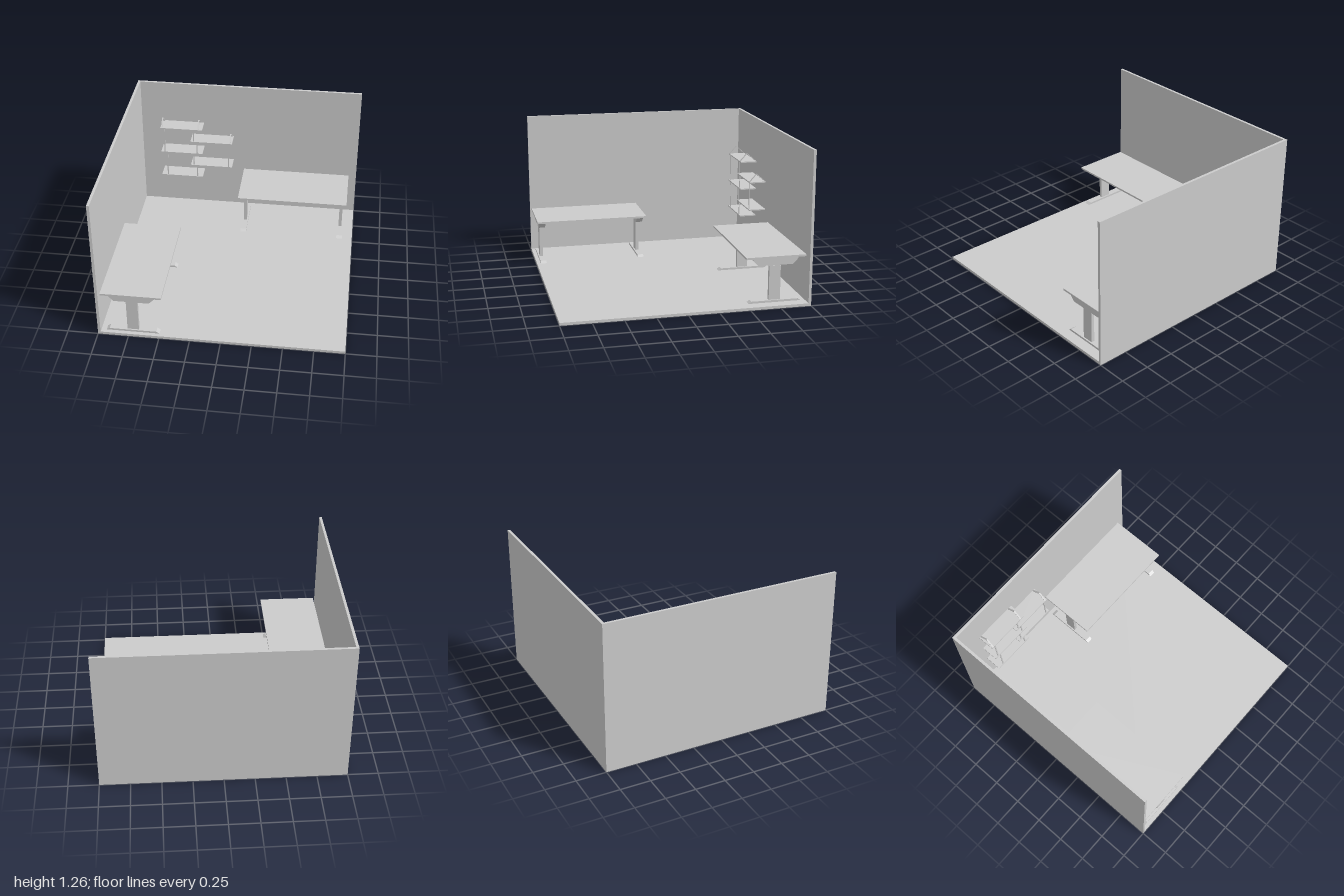
import * as THREE from 'three';

const material = new THREE.MeshStandardMaterial({ color: 0xcccccc, flatShading: true });

function add(parent, name, geometry) {
  const mesh = new THREE.Mesh(geometry, material);
  mesh.name = name;
  parent.add(mesh);
  return mesh;
}

// Box given by its minimum and maximum corners
function box(parent, name, [x0, y0, z0], [x1, y1, z1]) {
  const mesh = add(parent, name, new THREE.BoxGeometry(x1 - x0, y1 - y0, z1 - z0));
  mesh.position.set((x0 + x1) / 2, (y0 + y1) / 2, (z0 + z1) / 2);
  return mesh;
}

// Outline in (z, y), extruded by width and centred on x
function sideProfile(parent, name, points, width, x) {
  const shape = new THREE.Shape(points.map(([z, y]) => new THREE.Vector2(-z, y)));
  const geometry = new THREE.ExtrudeGeometry(shape, { depth: width, bevelEnabled: false });
  geometry.translate(0, 0, -width / 2).rotateY(Math.PI / 2);
  const mesh = add(parent, name, geometry);
  mesh.position.x = x;
  return mesh;
}

const FLOOR = 0.022;

// Standing desk, long side along x, centred on the origin
function createDesk() {
  const desk = new THREE.Group();
  desk.name = 'desk';
  box(desk, 'tabletop', [-0.485, 0.392, -0.246], [0.485, 0.408, 0.246]);
  for (const side of [-1, 1]) {
    const leg = new THREE.Group();
    leg.name = 'leg';
    leg.position.x = side * 0.438;
    desk.add(leg);
    sideProfile(leg, 'foot', [
      [-0.217, FLOOR], [0.217, FLOOR], [0.192, 0.039], [-0.192, 0.039],
    ], 0.052, 0);
    box(leg, 'column', [-0.014, 0.039, -0.047], [0.014, 0.32, 0.047]);
    box(leg, 'innerColumn', [-0.011, 0.32, -0.043], [0.011, 0.332, 0.043]);
    sideProfile(leg, 'bracket', [
      [-0.142, 0.33], [0.142, 0.33], [0.186, 0.375], [0.186, 0.392], [-0.186, 0.392], [-0.186, 0.375],
    ], 0.056, 0);
  }
  return desk;
}

// Staggered wall shelves hung on thin straps
function createShelves() {
  const shelves = new THREE.Group();
  shelves.name = 'wallShelves';
  const front = -0.833, back = -0.978;
  for (const [x, y] of [
    [-0.787, 0.87], [-0.515, 0.745], [-0.787, 0.622], [-0.515, 0.498], [-0.787, 0.375],
  ]) {
    box(shelves, 'shelf', [x, y - 0.005, back], [x + 0.38, y + 0.005, front]);
  }

  // Vertical straps along the front edges: x, bottom, top
  for (const [x, y0, y1] of [
    [-0.752, 0.622, 0.87], [-0.485, 0.745, 0.87], [-0.455, 0.622, 0.745], [-0.485, 0.498, 0.622],
    [-0.168, 0.498, 0.745], [-0.73, 0.375, 0.622], [-0.455, 0.375, 0.498],
  ]) {
    box(shelves, 'verticalStrap', [x - 0.005, y0, front - 0.009], [x + 0.005, y1, front - 0.003]);
  }

  // Peaked straps rising from the front edge and falling back to the wall
  for (const [x, y] of [[-0.772, 0.875], [-0.442, 0.875], [-0.153, 0.75]]) {
    sideProfile(shelves, 'hangingStrap', [
      [front, y], [-0.897, y + 0.071], [back, y], [back + 0.007, y], [-0.897, y + 0.064], [front - 0.007, y],
    ], 0.013, x);
  }
  return shelves;
}

export function createModel() {
  const model = new THREE.Group();
  model.name = 'officeRoom';

  // Floor and two walls
  box(model, 'floor', [-1, 0, -1], [1, FLOOR, 1]);
  box(model, 'leftWall', [-1, FLOOR, -0.978], [-0.978, 1.258, 1]);
  box(model, 'backWall', [-1, FLOOR, -1], [1, 1.258, -0.978]);

  // One desk by the back wall, one turned along the side wall
  const backDesk = createDesk();
  backDesk.name = 'backDesk';
  backDesk.position.set(0.447, 0, -0.727);
  const sideDesk = createDesk();
  sideDesk.name = 'sideDesk';
  sideDesk.rotation.y = Math.PI / 2;
  sideDesk.position.set(-0.717, 0, 0.503);

  model.add(backDesk, sideDesk, createShelves());
  return model;
}
